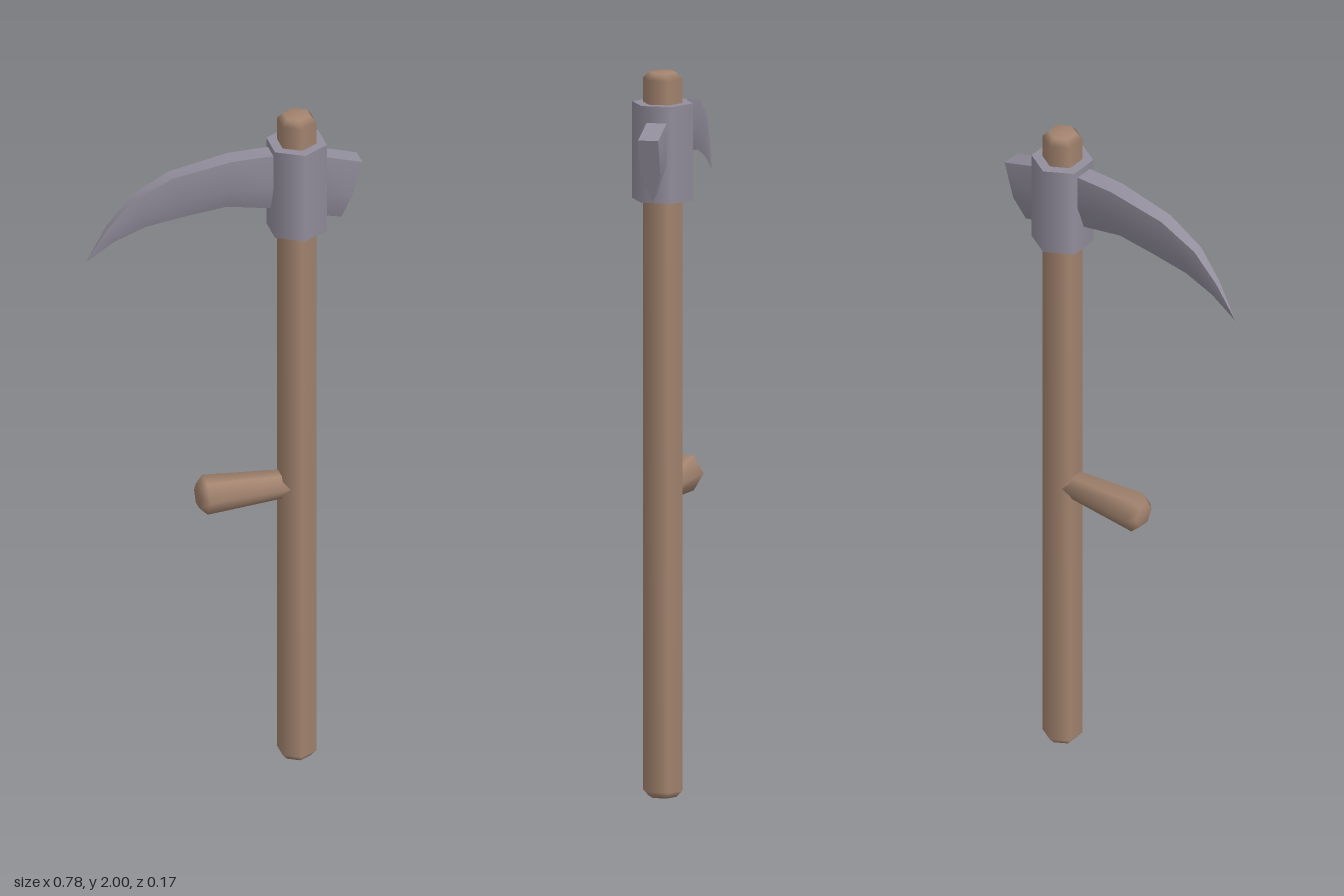
import * as THREE from 'three';
import { toCreasedNormals } from 'three/addons/utils/BufferGeometryUtils.js';

const POLE_X = 0.208;

// Six-sided turned piece from [radius, height] pairs
function turned(profile) {
  return new THREE.LatheGeometry(profile.map(([r, y]) => new THREE.Vector2(r, y)), 6);
}

// Loft of five-sided sections (flat spine, straight cheeks, keel edge below).
// Each station is [topX, topY, bottomX, bottomY, halfWidth], running toward -x.
function keeled(stations) {
  const positions = [];
  const index = [];
  stations.forEach(([tx, ty, bx, by, w]) => {
    const sx = bx + (tx - bx) * 0.42;
    const sy = by + (ty - by) * 0.42;
    positions.push(tx, ty, w, tx, ty, -w, sx, sy, -w, bx, by, 0, sx, sy, w);
  });
  for (let s = 0; s < stations.length - 1; s++) {
    for (let i = 0; i < 5; i++) {
      const a = s * 5 + i;
      const b = s * 5 + (i + 1) % 5;
      index.push(a, b, b + 5, a, b + 5, a + 5);
    }
  }
  index.push(0, 2, 1, 0, 3, 2, 0, 4, 3);
  const geometry = new THREE.BufferGeometry();
  geometry.setAttribute('position', new THREE.Float32BufferAttribute(positions, 3));
  geometry.setIndex(index);
  return toCreasedNormals(geometry, 0.6);
}

export function createModel() {
  const group = new THREE.Group();
  const wood = new THREE.MeshStandardMaterial({ color: 0xa3846f });
  wood.name = 'wood';
  const metal = new THREE.MeshStandardMaterial({ color: 0x928e9c });
  metal.name = 'metal';

  const add = (name, geometry, material) => {
    const mesh = new THREE.Mesh(geometry, material);
    mesh.name = name;
    group.add(mesh);
    return mesh;
  };

  // Long pole with chamfered ends
  add('pole', turned([
    [0, 0], [0.038, 0], [0.055, 0.018], [0.055, 1.982], [0.038, 2], [0, 2],
  ]), wood).position.x = POLE_X;

  // Side grip, flaring toward its free end
  const grip = add('sideGrip', turned([
    [0, 0], [0.037, 0], [0.055, 0.255], [0.034, 0.276], [0, 0.276],
  ]), wood);
  grip.position.set(0.203, 0.851, 0);
  grip.rotation.z = Math.PI / 2;

  // Collar gripping the pole
  add('collar', new THREE.CylinderGeometry(0.085, 0.085, 0.267, 6), metal)
    .position.set(POLE_X, 1.782, 0);

  // Curved blade, from the collar to the tip
  add('blade', keeled([
    [0.2, 1.895, 0.2, 1.705, 0.028],
    [0.02, 1.895, 0.01, 1.742, 0.026],
    [-0.15, 1.866, -0.11, 1.73, 0.021],
    [-0.26, 1.81, -0.22, 1.715, 0.015],
    [-0.33, 1.73, -0.31, 1.682, 0.008],
    [-0.39, 1.63, -0.39, 1.63, 0],
  ]), metal);

  // Short slanted chisel behind the collar
  add('chisel', keeled([
    [0.386, 1.838, 0.335, 1.66, 0.028],
    [0.28, 1.87, 0.28, 1.673, 0.028],
    [0.2, 1.89, 0.2, 1.69, 0.028],
  ]), metal);

  return group;
}
